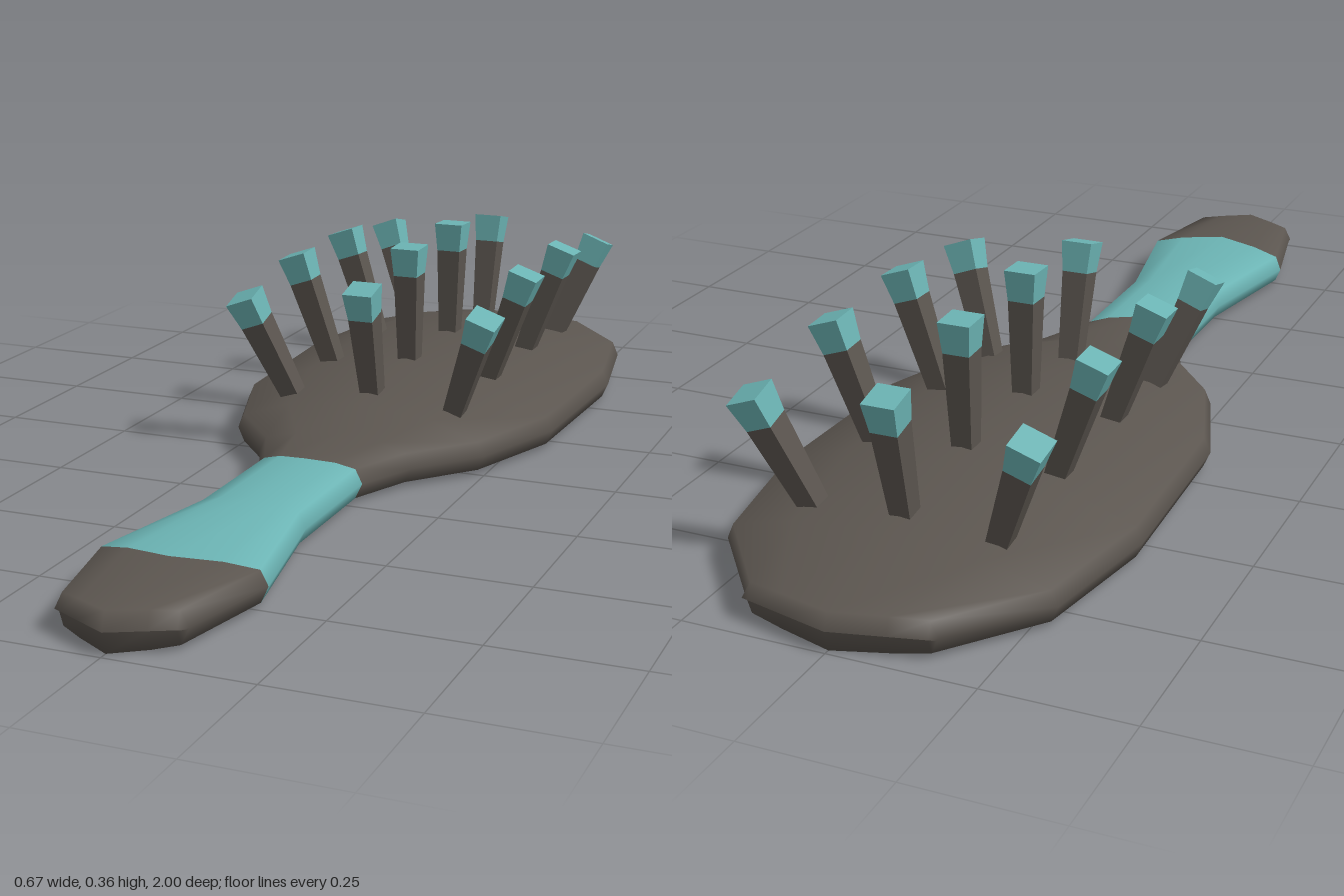
import * as THREE from 'three';
import { toCreasedNormals } from 'three/addons/utils/BufferGeometryUtils.js';

const dark = new THREE.MeshStandardMaterial({ color: 0x5b554f });
dark.name = 'dark grey';
const teal = new THREE.MeshStandardMaterial({ color: 0x6bb3b3 });
teal.name = 'teal';

// Stations along the brush: z at the edge, half width, z offset at the centre, top height, material
const STATIONS = [
  [-0.96, 0.165, -0.04, 0, 0],
  [-0.95, 0.165, -0.04, 0.066, 0],
  [-0.8, 0.29, 0, 0.106, 0],
  [-0.56, 0.333, 0, 0.135, 0],
  [-0.2, 0.32, 0, 0.135, 0],
  [0, 0.25, 0, 0.112, 0],
  [0.12, 0.15, -0.04, 0.08, 0],
  [0.23, 0.1, 0.025, 0.08, 1],
  [0.48, 0.1, 0, 0.08, 1],
  [0.74, 0.15, 0.04, 0.08, 0],
  [0.93, 0.11, 0.055, 0.068, 0],
  [0.94, 0.11, 0.055, 0, 0],
];

// Closed cross-section; a top height of 0 collapses it to the end rim line
function section([z, w, bend, top]) {
  const rim = 0.064, mid = rim + (top - rim) * 0.65, inner = w - 0.012;
  const half = [[inner * 0.6, 0.004], [inner, 0.01], [w, 0.037], [inner, rim], [inner * 0.6, mid]];
  const loop = [[0, 0], ...half, [0, top], ...half.slice().reverse().map(([x, y]) => [-x, y])];
  return loop.map(([x, y]) => [x, top ? y : 0.037, z + bend * (1 - Math.abs(x) / w)]);
}

function createBody() {
  const rings = STATIONS.map(section);
  const n = rings[0].length;
  const index = [];
  const geometry = new THREE.BufferGeometry();
  for (let i = 0; i < rings.length - 1; i++) {
    geometry.addGroup(index.length, n * 6, STATIONS[i][4]);
    for (let j = 0; j < n; j++) {
      const k = (j + 1) % n;
      const a = i * n + j, b = i * n + k, c = b + n, d = a + n;
      index.push(a, b, c, a, c, d);
    }
  }
  geometry.setAttribute('position', new THREE.Float32BufferAttribute(rings.flat(2), 3));
  geometry.setIndex(index);
  geometry.computeVertexNormals();
  const body = new THREE.Mesh(geometry, [dark, teal]);
  body.name = 'headAndHandle';
  return body;
}

// Square tapered peg standing on y = 0
function peg(bottom, top, height, y, material, name) {
  const g = new THREE.CylinderGeometry(top * Math.SQRT2, bottom * Math.SQRT2, height, 4);
  g.rotateY(Math.PI / 4);
  g.translate(0, y + height / 2, 0);
  const mesh = new THREE.Mesh(toCreasedNormals(g, 0.5), material);
  mesh.name = name;
  return mesh;
}

function createBristle(base, tip) {
  const bristle = new THREE.Group();
  bristle.name = 'bristle';
  const dir = tip.clone().sub(base);
  const length = dir.length(), cap = 0.056;
  bristle.add(peg(0.018, 0.024, length - cap, 0, dark, 'bristleStem'));
  bristle.add(peg(0.024, 0.029, cap, length - cap, teal, 'bristleTip'));
  bristle.position.copy(base);
  bristle.quaternion.setFromUnitVectors(new THREE.Vector3(0, 1, 0), dir.normalize());
  return bristle;
}

export function createModel() {
  const model = new THREE.Group();
  model.name = 'hairbrush';
  model.add(createBody());

  // Bristle rows: base z, tip z, base height, tip height; outer columns lean outwards
  const rows = [
    [-0.735, -0.785, 0.103, 0.328],
    [-0.515, -0.525, 0.115, 0.36],
    [-0.275, -0.268, 0.115, 0.36],
    [-0.075, -0.018, 0.103, 0.328],
  ];
  for (const [z0, z1, y0, y1] of rows) {
    for (const side of [-1, 0, 1]) {
      const drop = Math.abs(side);
      model.add(createBristle(
        new THREE.Vector3(side * 0.163, y0 - drop * 0.015, z0),
        new THREE.Vector3(side * 0.242, y1 - drop * 0.034, z1)
      ));
    }
  }
  return model;
}
